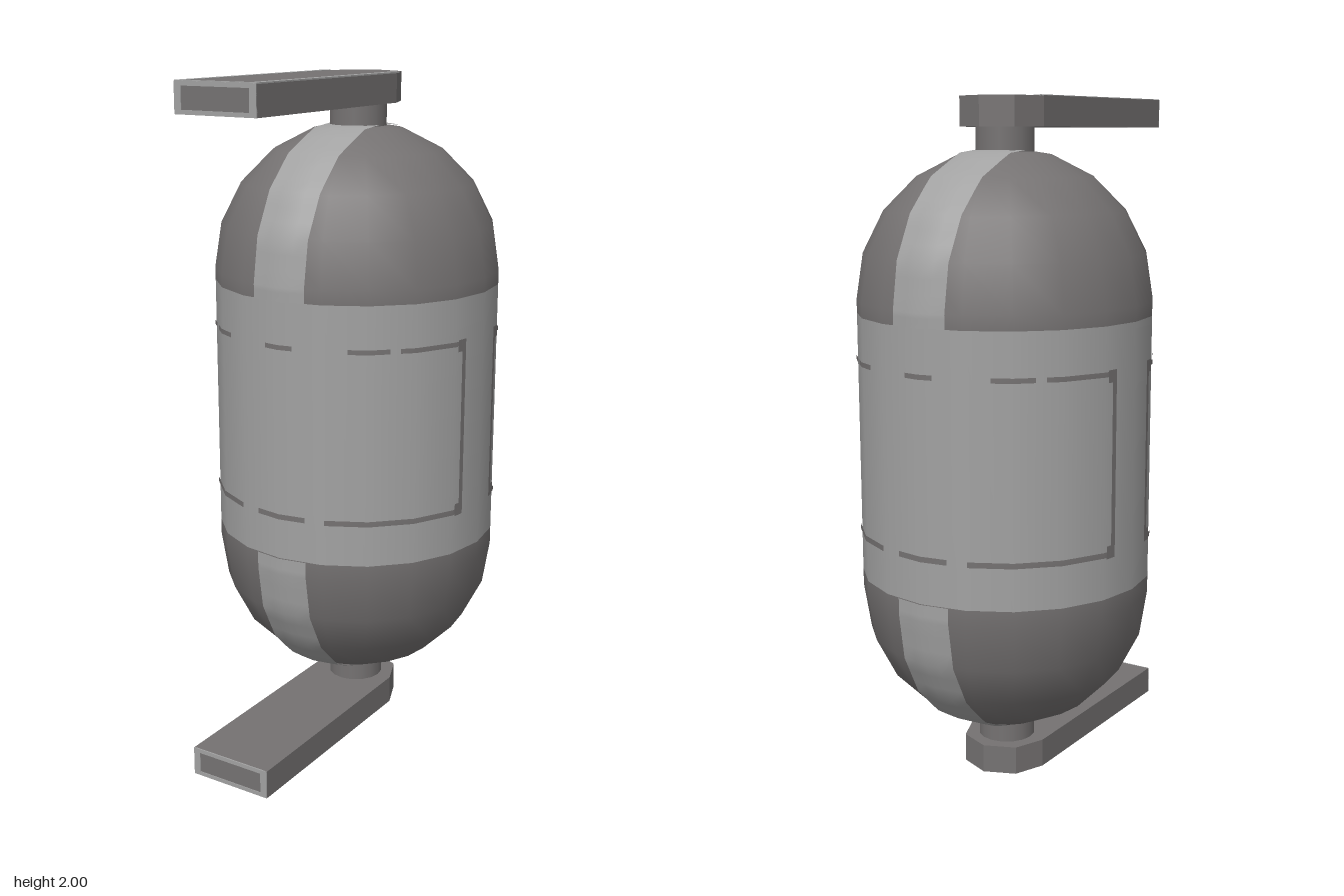
import * as THREE from 'three';

const R = 0.43, SIDES = 20, STEP = (Math.PI * 2) / SIDES, AXIS_Z = -0.13;
const LOW = 0.57, HIGH = 1.43, BAND_LOW = 0.62, BAND_HIGH = 1.39;

const dark = new THREE.MeshStandardMaterial({ name: 'dark grey', color: 0x757272 });
const light = new THREE.MeshStandardMaterial({ name: 'light grey', color: 0xa2a2a2 });

function add(parent, name, geometry, material) {
  const mesh = new THREE.Mesh(geometry, material);
  mesh.name = name;
  parent.add(mesh);
  return mesh;
}

// Sheet through rows of points; columns run to the right, rows run upward
function sheet(rows) {
  const w = rows[0].length, index = [];
  for (let i = 0; i < rows.length - 1; i++) {
    for (let j = 0; j < w - 1; j++) {
      const a = i * w + j, b = a + w;
      index.push(a, a + 1, b + 1, a, b + 1, b);
    }
  }
  const geometry = new THREE.BufferGeometry().setFromPoints(rows.flat());
  geometry.setIndex(index);
  geometry.computeVertexNormals();
  return geometry;
}

// Radius of the faceted ring at an angle measured from the front
function facetRadius(angle, r) {
  const t = ((angle % STEP) + STEP) % STEP;
  return (r * Math.cos(STEP / 2)) / Math.cos(t - STEP / 2);
}

// Depth of the faceted ring at a given x
function facetDepth(x, r) {
  const angle = Math.asin(Math.min(1, Math.abs(x) / r));
  const k = Math.min(4, Math.floor(angle / STEP));
  const x0 = r * Math.sin(k * STEP), x1 = r * Math.sin((k + 1) * STEP);
  const z0 = r * Math.cos(k * STEP), z1 = r * Math.cos((k + 1) * STEP);
  return z0 + ((Math.abs(x) - x0) / (x1 - x0)) * (z1 - z0);
}

// Patch wrapped on the cylinder between two angles in degrees
function wrap(from, to, y0, y1) {
  const a = THREE.MathUtils.degToRad(from), b = THREE.MathUtils.degToRad(to);
  const angles = [a];
  for (let k = Math.ceil(a / STEP + 0.001); k * STEP < b - 0.001; k++) angles.push(k * STEP);
  angles.push(b);
  return sheet([y0, y1].map(y => angles.map(t => {
    const r = facetRadius(t, R) + 0.004;
    return new THREE.Vector3(r * Math.sin(t), y, r * Math.cos(t));
  })));
}

// Half profile of the upper dome, from the band to the pole
const dome = [new THREE.Vector2(R, BAND_HIGH)];
for (let i = 0; i <= 5; i++) {
  dome.push(new THREE.Vector2(R * Math.cos(i * STEP), HIGH + R * Math.sin(i * STEP)));
}
dome[6].x = 0;
const lowerDome = dome.map(p => new THREE.Vector2(p.x, 2 - p.y)).reverse();
lowerDome[lowerDome.length - 1].y = BAND_LOW;

// Constant-width stripe that climbs one side of a dome
function stripe(profile) {
  const columns = [-0.085, -0.041, 0, 0.041, 0.085], rows = [];
  for (let i = 0; i < profile.length - 1; i++) {
    for (let s = 0; s <= 3; s++) {
      if (s === 3 && i < profile.length - 2) continue;
      const p = profile[i].clone().lerp(profile[i + 1], s / 3);
      if (p.x < 0.086) continue;
      const middle = THREE.MathUtils.clamp(p.y, LOW, HIGH);
      rows.push(columns.map(x => new THREE.Vector3(
        x, middle + (p.y - middle) * 1.012, facetDepth(x, p.x) * 1.012)));
    }
  }
  return sheet(rows);
}

function createBody() {
  const body = new THREE.Group();
  body.name = 'capsule body';
  body.position.z = AXIS_Z;
  add(body, 'lower dome', new THREE.LatheGeometry(lowerDome, SIDES), dark);
  add(body, 'upper dome', new THREE.LatheGeometry(dome, SIDES), dark);
  add(body, 'middle band', new THREE.LatheGeometry(
    [new THREE.Vector2(R, BAND_LOW), new THREE.Vector2(R, BAND_HIGH)], SIDES), light);

  // Stripes and panel seams, repeated on the front and the back
  for (const side of ['front', 'back']) {
    const half = new THREE.Group();
    half.name = side + ' markings';
    half.rotation.y = side === 'front' ? 0 : Math.PI;
    body.add(half);
    add(half, 'upper stripe', stripe(dome), light);
    add(half, 'lower stripe', stripe(lowerDome), light);
    for (const [a, b] of [[-77, -48], [-44, -28], [-6, 6], [28, 44], [48, 77]]) {
      add(half, 'upper seam', wrap(a, b, 1.252, 1.266), dark);
    }
    for (const [a, b] of [[-77, -20], [-11, 11], [19, 77]]) {
      add(half, 'lower seam', wrap(a, b, 0.743, 0.759), dark);
    }
    for (const s of [-1, 1]) {
      const span = (a, b) => (s > 0 ? [a, b] : [-b, -a]);
      add(half, 'side seam', wrap(...span(76, 78.2), 0.743, 1.266), dark);
      add(half, 'upper seam corner', wrap(...span(73.5, 78.2), 1.235, 1.27), dark);
      add(half, 'lower seam corner', wrap(...span(73.5, 78.2), 0.738, 0.775), dark);
    }
  }
  return body;
}

function createArm(name, bottom) {
  const arm = new THREE.Group();
  arm.name = name;
  arm.position.y = bottom;
  // Flat bar with a faceted round end around the body axis
  const outline = [[-0.13, -0.565], [0.13, -0.565], [0.13, 0.13], [0.092, 0.222],
    [0, 0.26], [-0.092, 0.222], [-0.13, 0.13]].map(([x, y]) => new THREE.Vector2(x, y));
  const bar = new THREE.ExtrudeGeometry(new THREE.Shape(outline), { depth: 0.085, bevelEnabled: false });
  add(arm, 'bar', bar.rotateX(-Math.PI / 2), dark);

  // Pale rim around the front end
  const plate = (part, w, h, d, x, y, z) =>
    add(arm, part, new THREE.BoxGeometry(w, h, d), light).position.set(x, y, z);
  for (const s of [-1, 1]) {
    plate('end rim side', 0.022, 0.085, 0.004, s * 0.119, 0.0425, 0.565);
    plate('end rim edge', 0.216, 0.012, 0.004, 0, 0.0425 + s * 0.0365, 0.565);
  }
  return { arm, plate };
}

export function createModel() {
  const model = new THREE.Group();
  model.name = 'capsule with mounting arms';
  model.add(createBody());

  const upper = createArm('upper arm', 1.915), lower = createArm('lower arm', 0);
  model.add(upper.arm, lower.arm);
  // Pale worn edges on the top face
  for (const s of [-1, 1]) {
    upper.plate('worn edge', 0.024, 0.004, 0.71, s * 0.118, 0.085, 0.21);
  }
  upper.plate('worn end edge', 0.212, 0.004, 0.012, 0, 0.085, 0.559);

  // Short necks joining the arms to the domes
  for (const [name, y] of [['upper neck', 1.875], ['lower neck', 0.125]]) {
    add(model, name, new THREE.CylinderGeometry(0.085, 0.085, 0.09, 16), dark).position.set(0, y, AXIS_Z);
  }
  return model;
}
